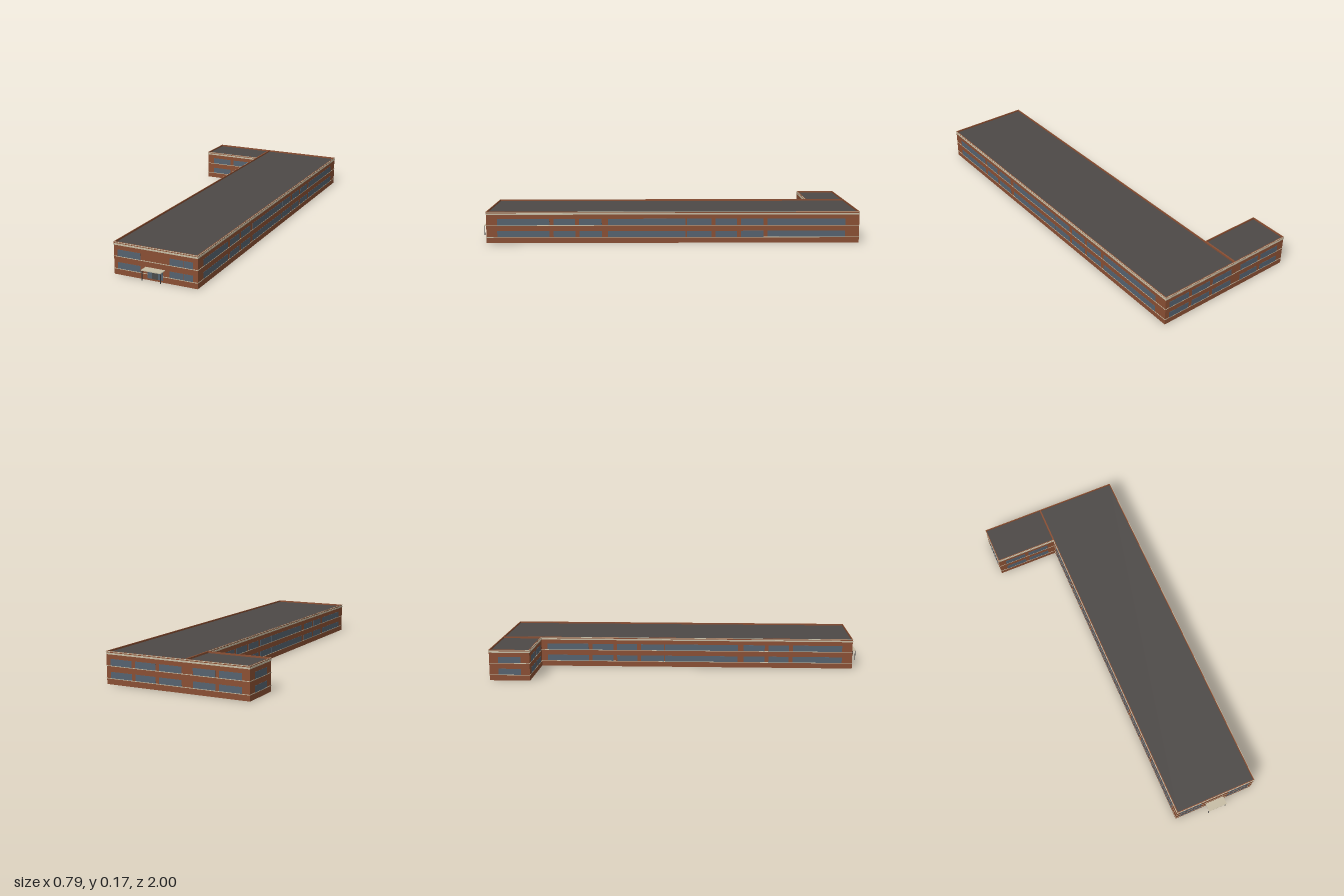
import * as THREE from 'three';

const mat = (name, color, side = THREE.FrontSide) => {
  const m = new THREE.MeshStandardMaterial({ color, side });
  m.name = name;
  return m;
};

export function createModel() {
  const brick = mat('brick', 0x8a4f33);
  const cream = mat('cream stone', 0xc6bca4);
  const glass = mat('window glass', 0x55626f);
  const roofing = mat('roofing', 0x4d4947, THREE.DoubleSide);
  const dark = mat('dark metal', 0x3a3a3c);
  const doorGrey = mat('door grey', 0x4a4a4a);
  const model = new THREE.Group();
  model.name = 'building';

  const box = (parent, name, material, w, h, d, x, y, z) => {
    const m = new THREE.Mesh(new THREE.BoxGeometry(w, h, d), material);
    m.name = name;
    m.position.set(x, y, z);
    parent.add(m);
    return m;
  };

  // Hollow rectangular ring between heights y0 and y1
  const ring = (parent, name, material, b, y0, y1, out, inset) => {
    const rect = (C, o) => {
      const r = new C();
      r.moveTo(b.x0 - o, -b.z1 - o);
      r.lineTo(b.x1 + o, -b.z1 - o);
      r.lineTo(b.x1 + o, -b.z0 + o);
      r.lineTo(b.x0 - o, -b.z0 + o);
      r.closePath();
      return r;
    };
    const s = rect(THREE.Shape, out);
    s.holes.push(rect(THREE.Path, -inset));
    const g = new THREE.ExtrudeGeometry(s, { depth: y1 - y0, bevelEnabled: false });
    g.rotateX(-Math.PI / 2);
    const m = new THREE.Mesh(g, material);
    m.name = name;
    m.position.y = y0;
    parent.add(m);
  };

  // Two-storey block: open bottom, parapet, flat roof and stone courses
  const block = (name, b) => {
    const g = new THREE.Group();
    g.name = name;
    ring(g, 'walls', brick, b, 0, 0.166, 0, 0.004);
    ring(g, 'sillCourse', cream, b, 0.0285, 0.0315, 0.0015, 0.002);
    ring(g, 'floorCourse', cream, b, 0.0915, 0.0945, 0.0015, 0.002);
    ring(g, 'cornice', cream, b, 0.15, 0.158, 0.002, 0.002);
    ring(g, 'coping', cream, b, 0.1625, 0.1655, 0.002, 0.002);
    const roof = new THREE.Mesh(
      new THREE.PlaneGeometry(b.x1 - b.x0 - 0.006, b.z1 - b.z0 - 0.006), roofing);
    roof.name = 'roof';
    roof.rotation.x = -Math.PI / 2;
    roof.position.set((b.x0 + b.x1) / 2, 0.157, (b.z0 + b.z1) / 2);
    g.add(roof);
    model.add(g);
  };
  block('mainBlock', { x0: -0.053, x1: 0.395, z0: -0.998, z1: 0.955 });
  block('sideWing', { x0: -0.395, x1: -0.053, z0: -0.998, z1: -0.783 });

  // Window rows on a wall; spans are world coordinates along that wall
  const windows = (name, axis, plane, spans, upperOnly = []) => {
    const g = new THREE.Group();
    g.name = name;
    const add = ([a, b], y0, y1) => {
      const c = (a + b) / 2, w = Math.abs(b - a), h = y1 - y0, y = (y0 + y1) / 2;
      if (axis === 'x') box(g, 'window', glass, w, h, 0.002, c, y, plane);
      else box(g, 'window', glass, 0.002, h, w, plane, y, c);
    };
    for (const s of spans) {
      add(s, 0.0315, 0.0635);
      add(s, 0.0945, 0.128);
    }
    for (const s of upperOnly) add(s, 0.0945, 0.128);
    model.add(g);
  };
  const longSide = [[0.898, 0.625], [0.603, 0.49], [0.469, 0.351], [0.319, -0.088],
    [-0.094, -0.223], [-0.244, -0.357], [-0.378, -0.496], [-0.517, -0.925]];
  windows('frontWindows', 'x', 0.955, [[-0.033, 0.092], [0.248, 0.318], [0.322, 0.371]]);
  windows('wingFrontWindows', 'x', -0.783, [[-0.354, -0.235], [-0.215, -0.095]]);
  windows('leftWindows', 'z', 0.395, longSide);
  windows('rightWindows', 'z', -0.053, [...longSide.slice(0, 7), [-0.517, -0.75]]);
  windows('wingEndWindows', 'z', -0.395, [[-0.95, -0.83]]);
  windows('backWindows', 'x', -0.998, [[-0.354, -0.235], [-0.215, -0.095],
    [-0.033, 0.092], [0.112, 0.228], [0.248, 0.371]]);

  // Entrance with glazing, door and canopy on two posts
  const entrance = new THREE.Group();
  entrance.name = 'entrance';
  box(entrance, 'entranceGlass', glass, 0.082, 0.046, 0.004, 0.171, 0.033, 0.955);
  box(entrance, 'door', doorGrey, 0.032, 0.04, 0.006, 0.17, 0.03, 0.955);
  box(entrance, 'canopy', cream, 0.104, 0.004, 0.045, 0.172, 0.063, 0.9775);
  for (const x of [0.122, 0.221])
    box(entrance, 'canopyPost', dark, 0.003, 0.051, 0.003, x, 0.0355, 0.996);
  model.add(entrance);

  return model;
}
